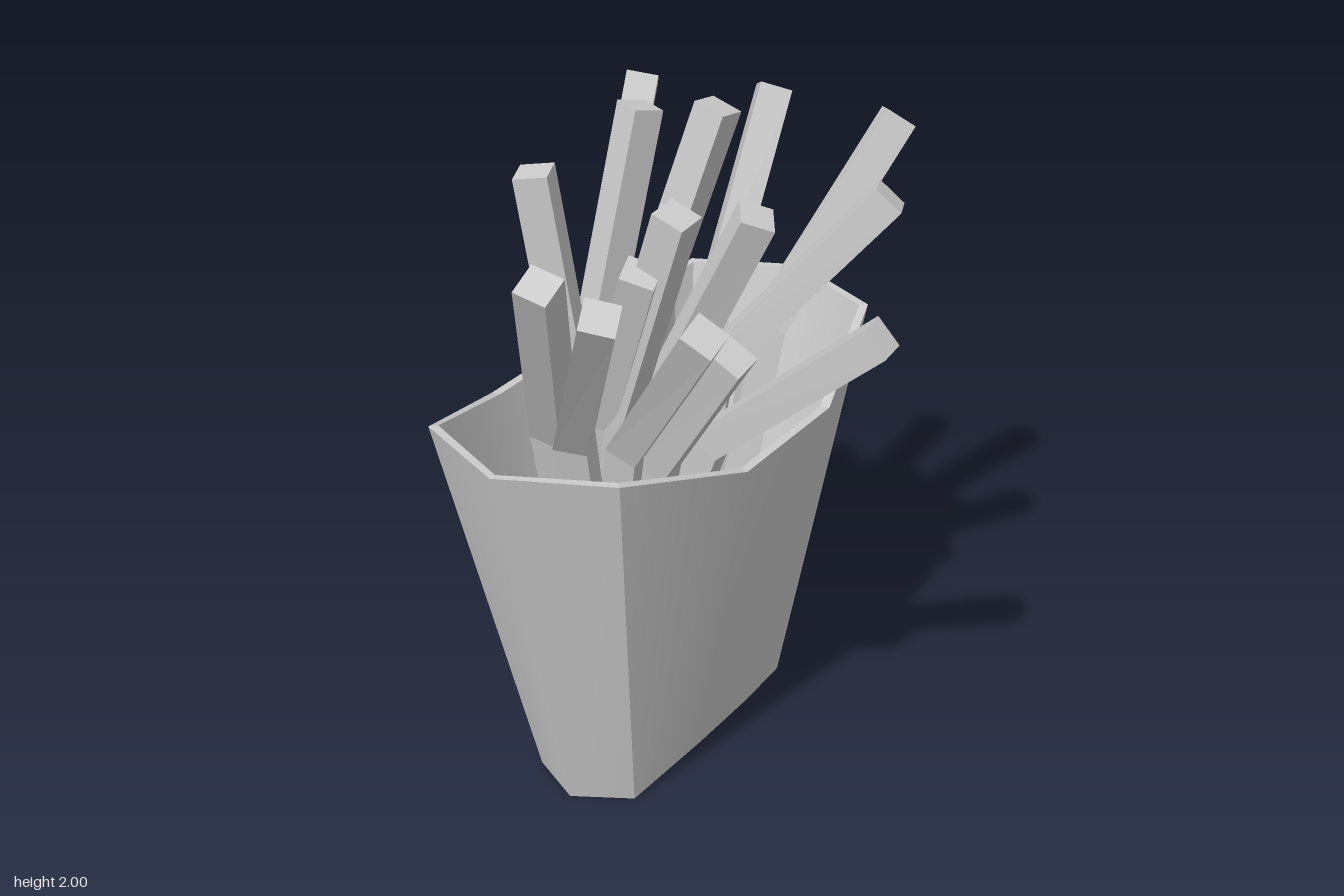
import * as THREE from 'three';

const V = (x, y, z) => new THREE.Vector3(x, y, z);
const smooth = new THREE.MeshStandardMaterial({ color: 0xcccccc });
const flat = new THREE.MeshStandardMaterial({ color: 0xcccccc, flatShading: true });

// Ruled surface between two rows of points
function strip(name, a, b, material) {
  const n = a.length, index = [];
  for (let i = 0; i < n - 1; i++) index.push(i, i + 1, n + i + 1, i, n + i + 1, n + i);
  const geo = new THREE.BufferGeometry().setFromPoints([...a, ...b]);
  geo.setIndex(index);
  geo.computeVertexNormals();
  const mesh = new THREE.Mesh(geo, material);
  mesh.name = name;
  return mesh;
}

// Ten-sided carton outline, mirrored from a quarter: end apex, corner, side
const CX = -0.19;
function outline(quarter) {
  const [apex, corner, side] = quarter;
  const at = ([w, y, z], sx, sz) => V(CX + w * sx, y, z * sz);
  return [
    at(apex, 1, 1), at(corner, 1, 1), at(side, 1, 1),
    at(side, 1, -1), at(corner, 1, -1), at(apex, 1, -1),
    at(corner, -1, -1), at(side, -1, -1), at(side, -1, 1), at(corner, -1, 1),
  ];
}

function carton() {
  const group = new THREE.Group();
  group.name = 'carton';
  const top = outline([[0, 1.2, 0.79], [0.31, 1.2, 0.65], [0.43, 1.08, 0.22]]);
  const bottom = outline([[0, 0, 0.49], [0.165, 0, 0.4], [0.22, 0.06, 0.13]]);
  const inset = (p, dy) => V(CX + (p.x - CX) * 0.94, p.y + dy, p.z * 0.97);
  const topIn = top.map((p) => inset(p, 0));
  const bottomIn = bottom.map((p) => inset(p, 0.02));
  const pick = (pts, ids) => ids.map((i) => pts[i]);

  // Wall panels, smooth within and sharp at the four corners
  const panels = { frontPanel: [9, 0, 1], leftPanel: [1, 2, 3, 4], backPanel: [4, 5, 6], rightPanel: [6, 7, 8, 9] };
  for (const [name, ids] of Object.entries(panels)) {
    group.add(strip(name, pick(bottom, ids), pick(top, ids), smooth));
    group.add(strip(name + 'Inside', pick(topIn, ids), pick(bottomIn, ids), smooth));
  }
  // Rim and base
  const ring = [0, 1, 2, 3, 4, 5, 6, 7, 8, 9, 0];
  const leftIds = [0, 1, 2, 3, 4, 5], rightIds = [0, 9, 8, 7, 6, 5];
  group.add(strip('rim', pick(top, ring), pick(topIn, ring), flat));
  group.add(strip('base', pick(bottom, rightIds), pick(bottom, leftIds), flat));
  group.add(strip('baseInside', pick(bottomIn, leftIds), pick(bottomIn, rightIds), flat));
  return group;
}

// Square stick with one bend, through base, bend and tip
function fry(points, twist, size = 0.094) {
  const [p0, p1, p2] = points;
  const lower = p1.clone().sub(p0).normalize();
  const upper = p2.clone().sub(p1).normalize();
  const dirs = [lower, lower.clone().add(upper).normalize(), upper];
  const verts = [];
  points.forEach((p, i) => {
    const d = dirs[i];
    const u = V(Math.cos(twist), 0, -Math.sin(twist));
    u.addScaledVector(d, -u.dot(d)).normalize();
    const v = u.clone().cross(d); // u, v run counter-clockwise seen from the tip
    for (const [a, b] of [[-1, 1], [1, 1], [1, -1], [-1, -1]]) {
      verts.push(p.clone().addScaledVector(u, a * size / 2).addScaledVector(v, b * size / 2));
    }
  });
  const index = [0, 2, 1, 0, 3, 2, 8, 9, 10, 8, 10, 11];
  for (let r = 0; r < 8; r += 4) {
    for (let k = 0; k < 4; k++) {
      const a = r + k, b = r + (k + 1) % 4;
      index.push(a, b, b + 4, a, b + 4, a + 4);
    }
  }
  const geo = new THREE.BufferGeometry().setFromPoints(verts);
  geo.setIndex(index);
  geo.computeVertexNormals();
  const mesh = new THREE.Mesh(geo, flat);
  mesh.name = 'fry';
  return mesh;
}

// Each fry: base, bend, tip, twist
const FRIES = [
  [[-0.36, 0.4, 0.1], [-0.52, 1.26, -0.2], [-0.605, 1.8, -0.55], 0.6],
  [[-0.22, 0.3, -0.12], [-0.2, 1.23, -0.29], [-0.2, 1.82, -0.63], 0.7],
  [[-0.15, 0.3, -0.2], [-0.08, 1.18, -0.41], [0.13, 1.75, -0.78], 0.7],
  [[-0.22, 0.3, -0.08], [-0.08, 1.18, -0.15], [0.33, 1.69, -0.37], 0.4],
  [[-0.32, 0.3, 0.02], [-0.44, 1.28, -0.08], [-0.37, 1.87, -0.19], -0.4],
  [[-0.2, 0.3, -0.01], [-0.18, 1.42, 0.05], [-0.02, 1.985, -0.04], 0],
  [[-0.2, 0.3, 0.2], [0.12, 1.14, 0.22], [0.61, 1.56, 0.18], 0.1],
  [[-0.24, 0.3, 0.18], [-0.06, 1.2, 0.2], [0.25, 1.82, 0.2], 0.6],
  [[-0.22, 0.3, 0.2], [-0.27, 1.25, 0.3], [-0.335, 1.87, 0.36], 0.4],
  [[-0.2, 0.3, 0.25], [-0.1, 1.2, 0.35], [0.14, 1.87, 0.405], 0],
  [[-0.18, 0.3, 0.25], [0.05, 1.12, 0.37], [0.34, 1.55, 0.455], 0],
  [[-0.22, 0.3, 0.22], [-0.14, 1.2, 0.36], [0.06, 1.71, 0.45], 0.3],
  [[-0.2, 0.3, 0.28], [0.0, 1.18, 0.43], [0.36, 1.68, 0.62], 0],
  [[-0.22, 0.3, 0.28], [-0.2, 1.2, 0.49], [-0.01, 1.79, 0.79], 0],
  [[-0.18, 0.3, 0.3], [-0.13, 1.2, 0.5], [0.17, 1.75, 0.79], 0.35],
];

export function createModel() {
  const model = new THREE.Group();
  model.name = 'cartonOfFries';
  model.add(carton());
  const fries = new THREE.Group();
  fries.name = 'fries';
  for (const [base, bend, tip, twist] of FRIES) {
    fries.add(fry([base, bend, tip].map((p) => V(...p)), twist));
  }
  model.add(fries);
  return model;
}
